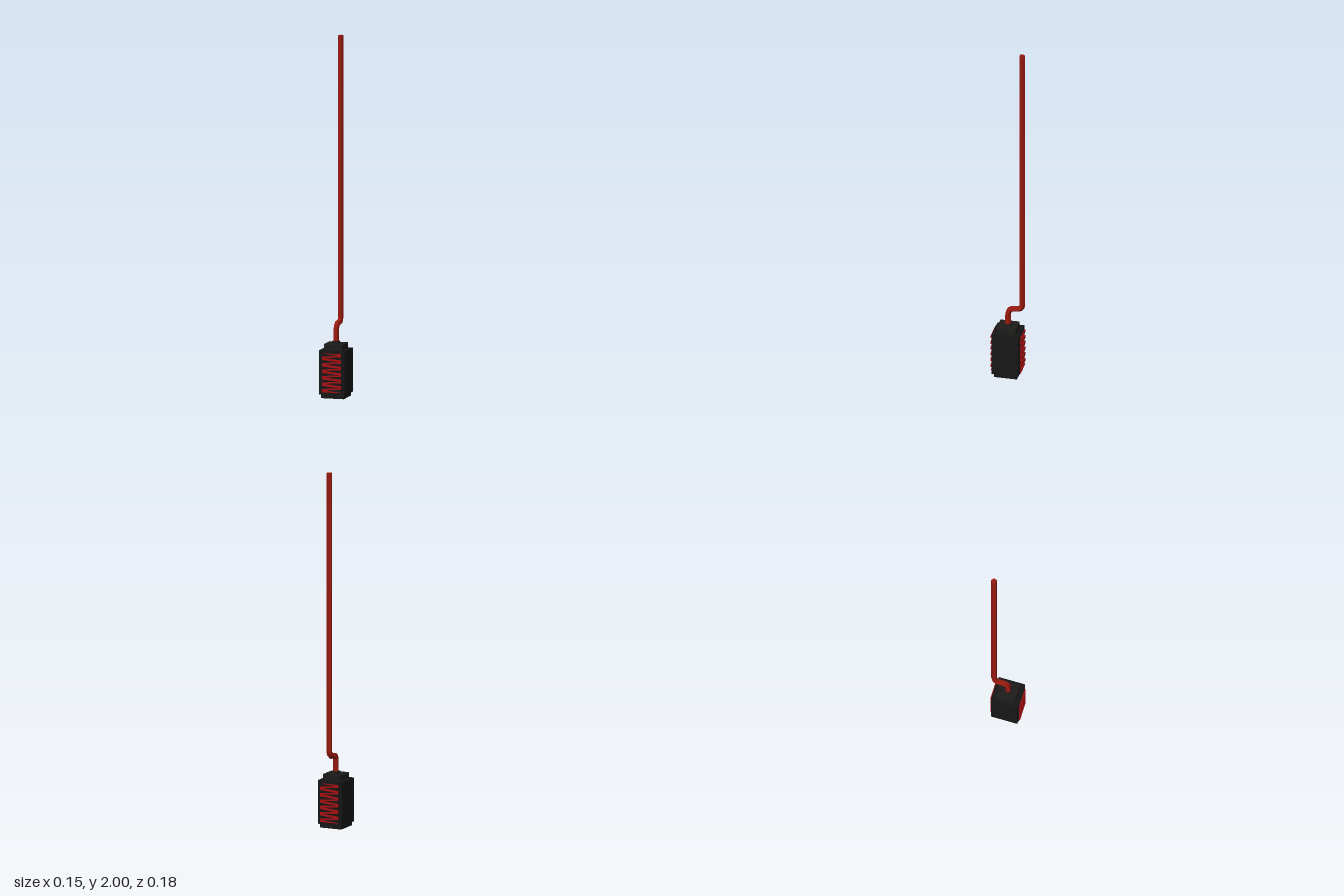
import * as THREE from 'three';

const mat = (color) => new THREE.MeshStandardMaterial({ color, flatShading: true });
const BLACK = mat(0x161616), DARK = mat(0x1d1c1a), CORD = mat(0x981a10), RED = mat(0xa80e10);
const CZ = 0.005; // housing centre in z

function box(parent, name, w, h, d, y0, material, z = CZ) {
  const mesh = new THREE.Mesh(new THREE.BoxGeometry(w, h, d), material);
  mesh.name = name;
  mesh.position.set(0, y0 + h / 2, z);
  parent.add(mesh);
}

// Red sheet with tapered notches cut in alternately from both sides
function zigzagGeometry(halfW, y0, y1, count, depth) {
  const pitch = (y1 - y0) / count, gap = pitch * 0.25;
  const points = [[-halfW, y0], [halfW, y0]];
  for (let i = 0; i < count; i++) {
    const y = y0 + (i + 0.3) * pitch;
    points.push([halfW, y - gap], [-halfW * 0.85, y], [halfW, y + gap]);
  }
  points.push([halfW, y1], [-halfW, y1]);
  for (let i = count - 1; i >= 0; i--) {
    const y = y0 + (i + 0.75) * pitch;
    points.push([-halfW, y + gap], [halfW * 0.85, y], [-halfW, y - gap]);
  }
  const shape = new THREE.Shape(points.map(([x, y]) => new THREE.Vector2(x, y)));
  return new THREE.ExtrudeGeometry(shape, { depth, bevelEnabled: false });
}

// Cord route: up from the collar, a double bend backwards, then straight up
function cordPath() {
  const v = (y, z) => new THREE.Vector3(0, y, z);
  const path = new THREE.CurvePath();
  path.add(new THREE.LineCurve3(v(0.295, -CZ), v(0.365, -CZ)));
  path.add(new THREE.QuadraticBezierCurve3(v(0.365, -CZ), v(0.405, -CZ), v(0.405, 0.03)));
  path.add(new THREE.LineCurve3(v(0.405, 0.03), v(0.405, 0.045)));
  path.add(new THREE.QuadraticBezierCurve3(v(0.405, 0.045), v(0.407, 0.075), v(0.44, 0.075)));
  path.add(new THREE.LineCurve3(v(0.44, 0.075), v(2, 0.075)));
  return path;
}

export function createModel() {
  const model = new THREE.Group();
  model.name = 'hangingLamp';

  // Housing and stepped caps
  box(model, 'housing', 0.148, 0.245, 0.15, 0.022, BLACK);
  box(model, 'bottomCap', 0.13, 0.03, 0.13, 0, BLACK);
  box(model, 'topCap', 0.106, 0.034, 0.108, 0.265, DARK);
  box(model, 'cordCollar', 0.036, 0.014, 0.036, 0.298, DARK);

  // Notched red panels on front and back
  const zigzag = zigzagGeometry(0.055, 0.036, 0.252, 6, 0.005);
  for (const side of [1, -1]) {
    const panel = new THREE.Group();
    panel.name = side > 0 ? 'frontPanel' : 'backPanel';
    panel.position.z = CZ;
    panel.rotation.y = side > 0 ? 0 : Math.PI;
    box(panel, 'panelBacking', 0.122, 0.23, 0.005, 0.03, BLACK, 0.0775);
    const insert = new THREE.Mesh(zigzag, RED);
    insert.name = 'panelInsert';
    insert.position.z = 0.08;
    panel.add(insert);
    model.add(panel);
  }

  // Five-sided cord, turned so that one edge points backwards
  const cord = new THREE.Mesh(new THREE.TubeGeometry(cordPath(), 170, 0.0165, 5, false), CORD);
  cord.name = 'cord';
  cord.rotation.y = Math.PI;
  model.add(cord);

  const end = new THREE.Mesh(new THREE.CircleGeometry(0.0165, 5, Math.PI / 2), CORD);
  end.name = 'cordEnd';
  end.rotation.x = -Math.PI / 2;
  end.position.set(0, 2, -0.075);
  model.add(end);

  return model;
}
